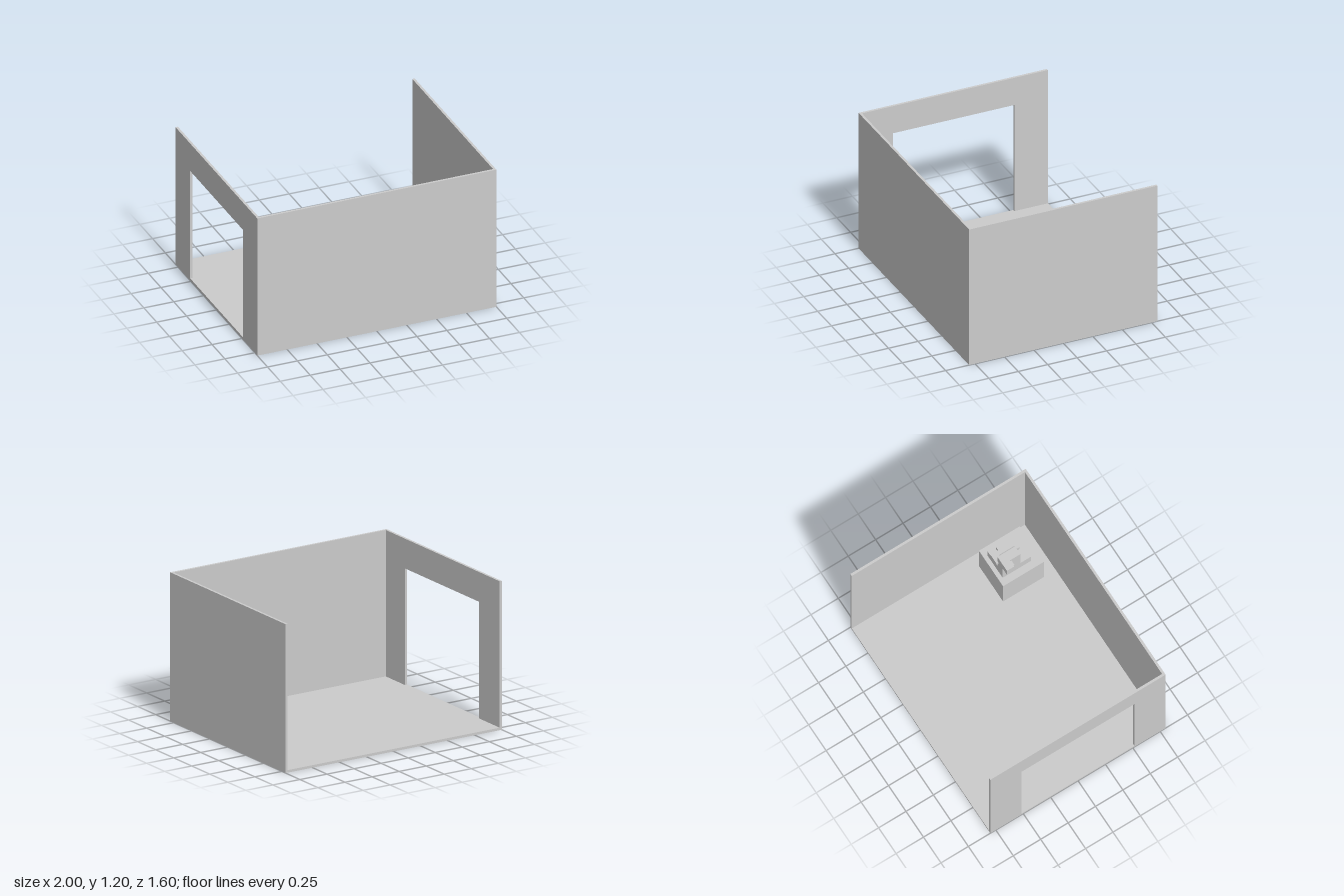
import * as THREE from 'three';

const WALL = 0.02;

export function createModel() {
  const room = new THREE.Group();
  room.name = 'room';
  const material = new THREE.MeshStandardMaterial({ color: 0xcccccc, flatShading: true });

  // Box given by its lower and upper limits on each axis
  const addBox = (parent, name, [x0, x1], [y0, y1], [z0, z1]) => {
    const mesh = new THREE.Mesh(new THREE.BoxGeometry(x1 - x0, y1 - y0, z1 - z0), material);
    mesh.position.set((x0 + x1) / 2, (y0 + y1) / 2, (z0 + z1) / 2);
    mesh.name = name;
    parent.add(mesh);
  };

  // Shell: floor, front wall and solid left wall; the back and top stay open
  addBox(room, 'floor', [-1, 1], [0, WALL], [-0.8, 0.8]);
  addBox(room, 'frontWall', [-1 + WALL, 1 - WALL], [WALL, 1.2], [0.8 - WALL, 0.8]);
  addBox(room, 'leftWall', [1 - WALL, 1], [WALL, 1.2], [-0.8, 0.8]);

  // Right wall with a wide doorway reaching down to the floor
  const outline = [
    [-0.8, WALL], [-0.515, WALL], [-0.515, 0.96], [0.515, 0.96],
    [0.515, WALL], [0.8, WALL], [0.8, 1.2], [-0.8, 1.2],
  ];
  const shape = new THREE.Shape(outline.map(([z, y]) => new THREE.Vector2(z, y)));
  const wallGeometry = new THREE.ExtrudeGeometry(shape, { depth: WALL, bevelEnabled: false });
  wallGeometry.rotateY(-Math.PI / 2);
  const doorwayWall = new THREE.Mesh(wallGeometry, material);
  doorwayWall.name = 'doorwayWall';
  doorwayWall.position.x = -1 + WALL;
  room.add(doorwayWall);

  // Pedestal carrying a small machine
  addBox(room, 'pedestal', [0.54, 0.885], [WALL, 0.36], [0.3, 0.673]);
  const machine = new THREE.Group();
  machine.name = 'machine';
  room.add(machine);
  addBox(machine, 'machineBase', [0.6, 0.82], [0.36, 0.455], [0.335, 0.592]);

  // Tall column with a stepped overhanging head
  addBox(machine, 'column', [0.6, 0.675], [0.455, 0.655], [0.335, 0.495]);
  addBox(machine, 'columnHead', [0.54, 0.6], [0.565, 0.655], [0.335, 0.4]);
  addBox(machine, 'columnHeadStep', [0.557, 0.6], [0.565, 0.63], [0.4, 0.415]);

  // Low block with a ridge and a flat cap
  addBox(machine, 'lowBlock', [0.7, 0.8], [0.455, 0.5], [0.4, 0.553]);
  addBox(machine, 'ridge', [0.718, 0.755], [0.455, 0.54], [0.358, 0.518]);
  addBox(machine, 'cap', [0.66, 0.745], [0.535, 0.56], [0.318, 0.372]);

  return room;
}
